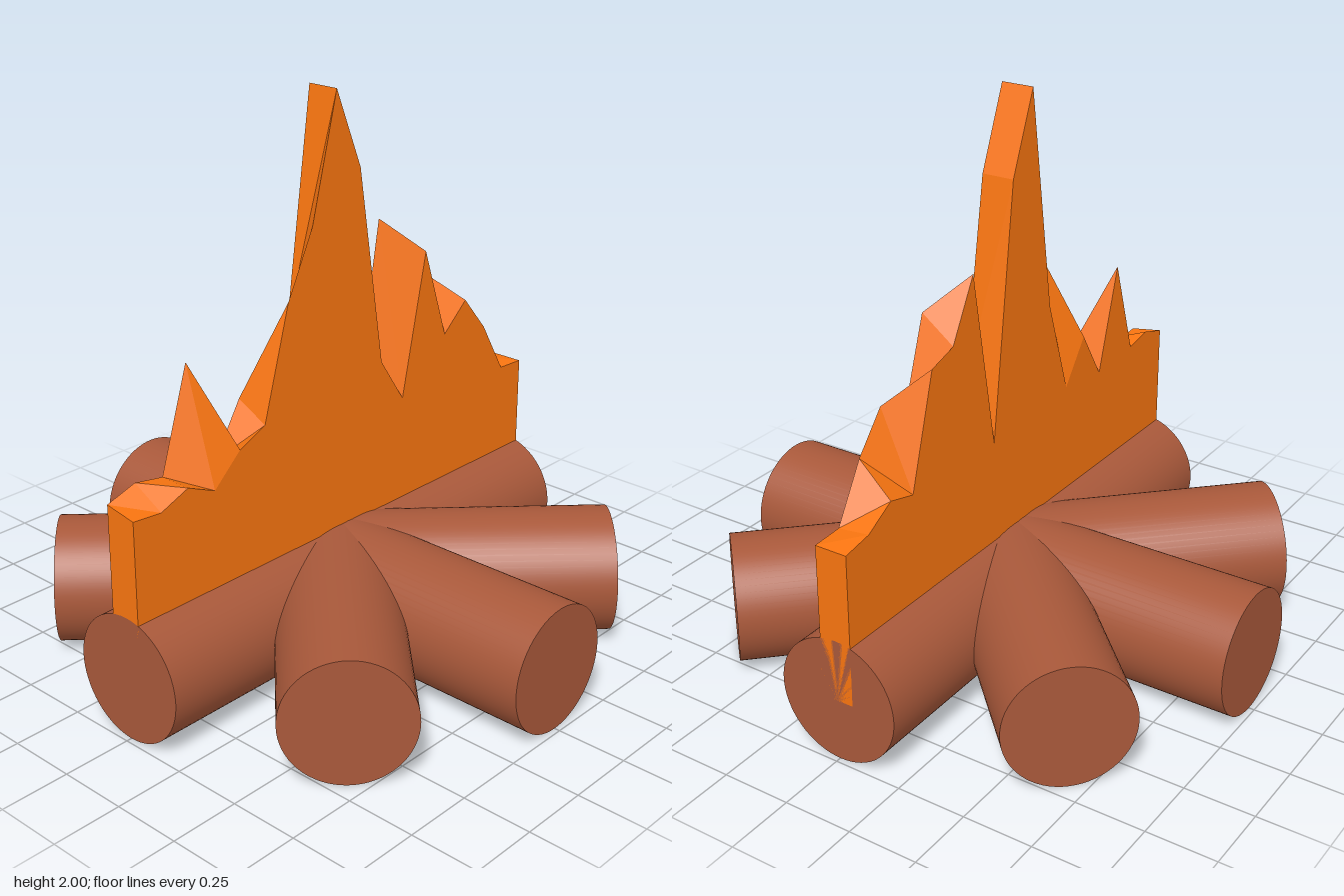
import * as THREE from 'three';

// Flame crest heights from back (-z) to front (+z), for the left (+x) and right (-x) faces
const LEFT = [0.775, 0.78, 0.975, 1.11, 1.01, 1.35, 0.83, 1.0, 1.72, 2.0, 1.57, 1.34, 0.945, 0.895, 0.79, 0.84, 0.795, 0.805];
const RIGHT = [0.775, 0.795, 0.86, 0.83, 1.225, 1.26, 1.47, 0.82, 1.72, 2.0, 1.2, 0.85, 1.005, 0.82, 1.2, 0.84, 0.86, 0.825];

const LENGTH = 1.96;
const RADIUS = 0.224;

export function createModel() {
  const model = new THREE.Group();
  model.name = 'campfire';

  // Four full-length logs crossing at the centre
  const bark = new THREE.MeshStandardMaterial({ color: 0xa8583a });
  const logGeometry = new THREE.CylinderGeometry(RADIUS, RADIUS, LENGTH, 64);
  logGeometry.rotateX(Math.PI / 2);
  for (let i = 0; i < 4; i++) {
    const log = new THREE.Mesh(logGeometry, bark);
    log.name = `log${i + 1}`;
    log.position.y = RADIUS;
    log.rotation.y = (i * Math.PI) / 4;
    model.add(log);
  }

  // Flame: a thin slab whose top edge is raised into jagged tongues
  const segments = LEFT.length - 1;
  const flameGeometry = new THREE.BoxGeometry(0.12, 1, LENGTH, 1, 1, segments);
  const p = flameGeometry.attributes.position;
  for (let i = 0; i < p.count; i++) {
    const station = Math.round((p.getZ(i) / LENGTH + 0.5) * segments);
    const crest = p.getX(i) > 0 ? LEFT : RIGHT;
    p.setY(i, p.getY(i) > 0 ? crest[station] : RADIUS);
  }
  flameGeometry.computeVertexNormals();
  const flame = new THREE.Mesh(
    flameGeometry,
    new THREE.MeshStandardMaterial({ color: 0xf97510, flatShading: true })
  );
  flame.name = 'flame';
  model.add(flame);

  return model;
}
